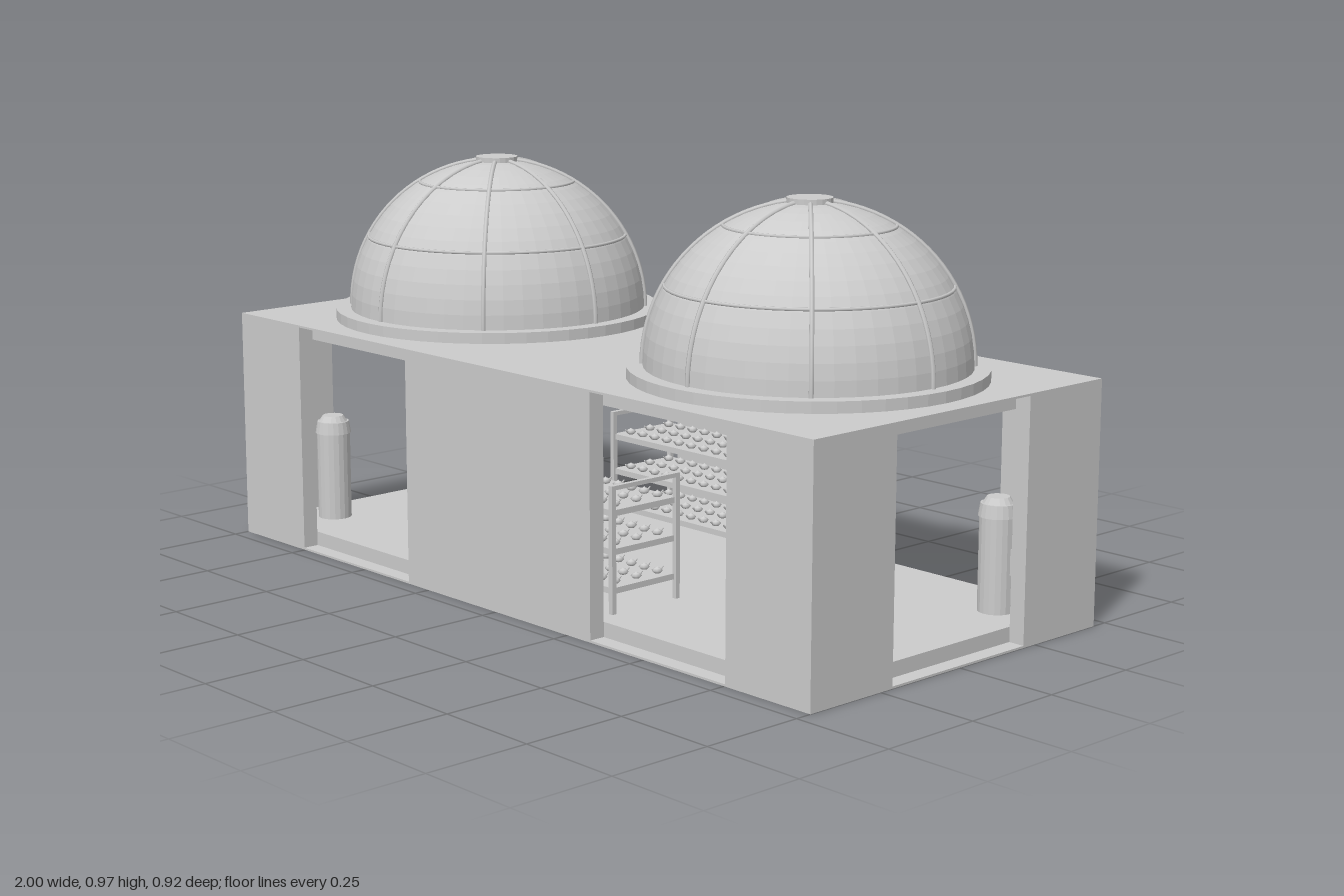
import * as THREE from 'three';

const W = 1, D = 0.46, H = 0.57, WALL = 0.04, FLOOR = 0.04, ROOM_X = 0.54;
const smooth = new THREE.MeshStandardMaterial({ color: 0xcccccc, side: THREE.DoubleSide });
const flat = new THREE.MeshStandardMaterial({ color: 0xcccccc, flatShading: true, side: THREE.DoubleSide });

function add(parent, name, geometry, x = 0, y = 0, z = 0, material = flat) {
  const mesh = new THREE.Mesh(geometry, material);
  mesh.name = name;
  mesh.position.set(x, y, z);
  parent.add(mesh);
  return mesh;
}

const box = (w, h, d) => new THREE.BoxGeometry(w, h, d);
const lathe = (points, segments) =>
  new THREE.LatheGeometry(points.map(([r, y]) => new THREE.Vector2(r, y)), segments);

function rect(Type, x0, y0, x1, y1) {
  const p = new Type();
  p.moveTo(x0, y0).lineTo(x1, y0).lineTo(x1, y1).lineTo(x0, y1).closePath();
  return p;
}

// Wall panel standing in the xy plane with tall doorways cut through it
function wallGeometry(halfWidth, doorCentres) {
  const shape = rect(THREE.Shape, -halfWidth, 0, halfWidth, H);
  for (const c of doorCentres) {
    shape.holes.push(rect(THREE.Path, c - 0.213, 0.005, c + 0.213, 0.565));
  }
  return new THREE.ExtrudeGeometry(shape, { depth: WALL, bevelEnabled: false }).translate(0, 0, -WALL / 2);
}

function buildHall() {
  const hall = new THREE.Group();
  hall.name = 'hall';
  const longWall = wallGeometry(W, [-ROOM_X, ROOM_X]);
  const endWall = wallGeometry(D - WALL, [0]).rotateY(Math.PI / 2);
  for (const s of [1, -1]) {
    add(hall, 'longWall', longWall, 0, 0, s * (D - WALL / 2));
    add(hall, 'endWall', endWall, s * (W - WALL / 2), 0, 0);
  }
  const iw = W - WALL, id = D - WALL;
  add(hall, 'floor', box(2 * iw, FLOOR, 2 * id), 0, FLOOR / 2, 0);
  // Roof slab with a round opening under each dome
  const roof = rect(THREE.Shape, -iw, -id, iw, id);
  for (const x of [-ROOM_X, ROOM_X]) {
    const hole = new THREE.Path();
    hole.absarc(x, 0, 0.36, 0, Math.PI * 2, true);
    roof.holes.push(hole);
  }
  const slab = new THREE.ExtrudeGeometry(roof, { depth: 0.04, bevelEnabled: false, curveSegments: 24 });
  add(hall, 'roof', slab.rotateX(-Math.PI / 2), 0, H - 0.04, 0);
  return hall;
}

function buildDome() {
  const dome = new THREE.Group();
  dome.name = 'dome';
  const R = 0.368;
  add(dome, 'baseRing', lathe([[0.36, 0], [0.405, 0], [0.405, 0.026], [0.36, 0.026], [0.36, 0]], 48), 0, H, 0);
  add(dome, 'shell', new THREE.SphereGeometry(R, 48, 16, 0, Math.PI * 2, 0, Math.PI / 2), 0, 0.595, 0);
  // Meridian ribs
  const rib = new THREE.TorusGeometry(R + 0.001, 0.006, 6, 24, Math.PI / 2);
  for (let i = 0; i < 8; i++) {
    add(dome, 'rib', rib, 0, 0.595, 0, smooth).rotation.y = i * Math.PI / 4;
  }
  // Horizontal hoops
  for (const h of [0.18, 0.314]) {
    const hoop = new THREE.TorusGeometry(Math.sqrt(R * R - h * h), 0.004, 6, 48).rotateX(Math.PI / 2);
    add(dome, 'hoop', hoop, 0, 0.595 + h, 0, smooth);
  }
  add(dome, 'cap', new THREE.CylinderGeometry(0.052, 0.052, 0.014, 24), 0, 0.964, 0);
  return dome;
}

// Low round basin in the middle of each room
function buildBasin() {
  const basin = new THREE.Group();
  basin.name = 'basin';
  add(basin, 'drum', new THREE.CylinderGeometry(0.122, 0.122, 0.06, 32), 0, FLOOR + 0.03, 0);
  add(basin, 'rim', lathe([[0.1, 0], [0.13, 0], [0.13, 0.026], [0.105, 0.026], [0.1, 0]], 32), 0, 0.095, 0);
  return basin;
}

function buildBarrel() {
  const barrel = new THREE.Group();
  barrel.name = 'barrel';
  add(barrel, 'body', new THREE.CylinderGeometry(0.042, 0.042, 0.22, 20), 0, FLOOR + 0.11, 0);
  add(barrel, 'lid', new THREE.CylinderGeometry(0.04, 0.045, 0.03, 20), 0, FLOOR + 0.235, 0);
  add(barrel, 'knob', new THREE.CylinderGeometry(0.026, 0.036, 0.015, 16), 0, FLOOR + 0.257, 0);
  add(barrel, 'handle', box(0.008, 0.06, 0.008), 0.044, FLOOR + 0.12, 0);
  return barrel;
}

// Long rack running along x, its open side towards -z
function buildRack() {
  const rack = new THREE.Group();
  rack.name = 'rack';
  const half = 0.295, near = 0.17, far = 0.365, mid = (near + far) / 2;
  const post = box(0.012, 0.295, 0.012);
  for (const x of [-half, half]) {
    for (const z of [near, far]) add(rack, 'post', post, x, FLOOR + 0.1475, z);
    add(rack, 'endRail', box(0.012, 0.01, far - near), x, 0.33, mid);
  }
  const pot = lathe([[0, 0], [0.008, 0], [0.013, 0.006], [0.008, 0.011], [0.003, 0.013], [0, 0.016]], 8);
  const spout = new THREE.CylinderGeometry(0.0015, 0.003, 0.012, 5).rotateX(-0.9);
  for (const y of [0.092, 0.182, 0.271]) {
    add(rack, 'shelf', box(2 * half, 0.014, far - near), 0, y, mid);
    for (let i = -6; i <= 6; i++) {
      for (const z of [0.2, 0.265, 0.33]) {
        add(rack, 'pot', pot, i * 0.044, y + 0.007, z, smooth);
        add(rack, 'spout', spout, i * 0.044, y + 0.016, z - 0.014, smooth);
      }
    }
  }
  return rack;
}

export function createModel() {
  const model = new THREE.Group();
  model.name = 'domedHall';
  model.add(buildHall());
  for (const s of [1, -1]) {
    for (const part of [buildDome(), buildBasin()]) {
      part.position.x = s * ROOM_X;
      model.add(part);
    }
    const rack = buildRack();
    rack.rotation.y = s > 0 ? 0 : Math.PI;
    model.add(rack);
    // Barrels in the outer corners
    for (const t of [1, -1]) {
      const barrel = buildBarrel();
      barrel.position.set(s * 0.855, 0, t * 0.29);
      barrel.rotation.y = s > 0 ? 0 : Math.PI;
      model.add(barrel);
    }
  }
  return model;
}
